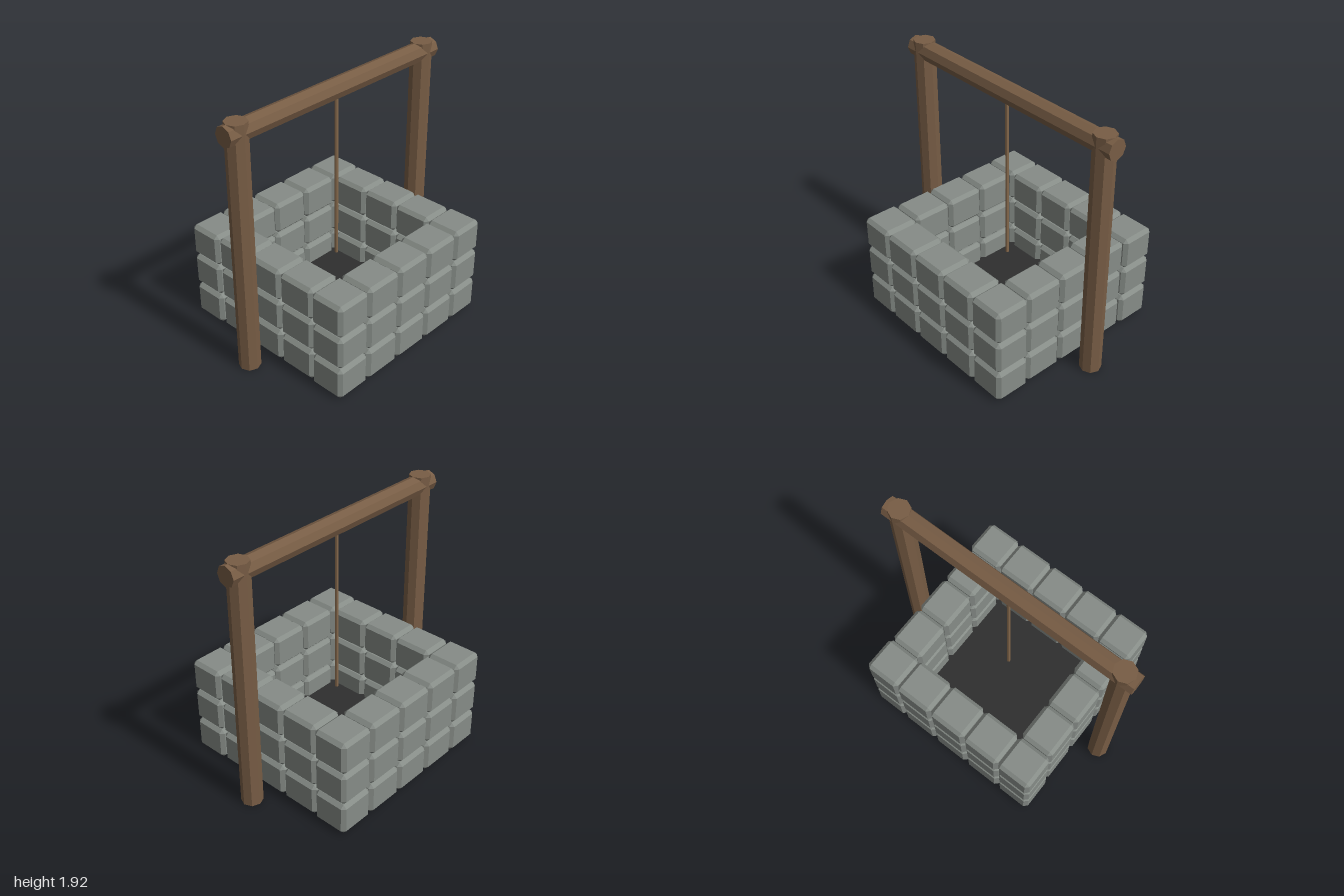
import * as THREE from 'three';
import { ConvexGeometry } from 'three/addons/geometries/ConvexGeometry.js';

const material = (name, color) => {
  const m = new THREE.MeshStandardMaterial({ color });
  m.name = name;
  return m;
};

// Box with bevelled edges and clipped corners
function chamferedBox(w, h, d, c) {
  const points = [];
  for (const sx of [-1, 1]) for (const sy of [-1, 1]) for (const sz of [-1, 1]) {
    const x = w / 2, y = h / 2, z = d / 2;
    points.push(
      new THREE.Vector3(sx * x, sy * (y - c), sz * (z - c)),
      new THREE.Vector3(sx * (x - c), sy * y, sz * (z - c)),
      new THREE.Vector3(sx * (x - c), sy * (y - c), sz * z)
    );
  }
  return new ConvexGeometry(points);
}

// Flat-faced pole standing on y = 0
function pole(radius, length, sides) {
  const g = new THREE.CylinderGeometry(radius, radius, length, sides).toNonIndexed();
  g.computeVertexNormals();
  return g;
}

export function createModel() {
  const model = new THREE.Group();
  model.name = 'well';
  const stone = material('grey stone', 0x868c87);
  const wood = material('brown wood', 0x785d45);
  const ropeBrown = material('rope brown', 0x84684b);
  const dark = material('dark depth', 0x2e2e2e);

  const add = (name, geometry, mat, x, y, z, parent = model) => {
    const mesh = new THREE.Mesh(geometry, mat);
    mesh.name = name;
    mesh.position.set(x, y, z);
    parent.add(mesh);
    return mesh;
  };

  // Square wall: three courses of bevelled stones
  const wall = new THREE.Group();
  wall.name = 'stoneWall';
  model.add(wall);
  const corner = chamferedBox(0.28, 0.25, 0.275, 0.027);
  const longStone = chamferedBox(0.306, 0.25, 0.275, 0.027);
  const sideStone = chamferedBox(0.265, 0.25, 0.306, 0.027);
  for (let row = 0; row < 3; row++) {
    const y = 0.137 + row * 0.26;
    for (const s of [-1, 1]) {
      for (const t of [-1, 1]) add('cornerStone', corner, stone, s * 0.606, y, t * 0.605, wall);
      for (let i = -1; i <= 1; i++) {
        add('longStone', longStone, stone, i * 0.31, y, s * 0.605, wall);
        add('sideStone', sideStone, stone, s * 0.603, y, i * 0.31, wall);
      }
    }
  }

  // Dark bottom of the shaft
  add('shaftFloor', new THREE.BoxGeometry(1.04, 0.02, 1.04), dark, 0, 0.09, 0);

  // Posts, crossbeam and hanging rope
  const post = pole(0.08, 1.925, 8);
  for (const s of [-1, 1]) add('post', post, wood, s * 0.895, 0.9625, 0);
  add('crossbeam', pole(0.075, 2, 8), wood, 0, 1.85, 0).rotation.z = Math.PI / 2;
  add('rope', pole(0.013, 1.32, 8), ropeBrown, 0, 1.18, 0);

  return model;
}
